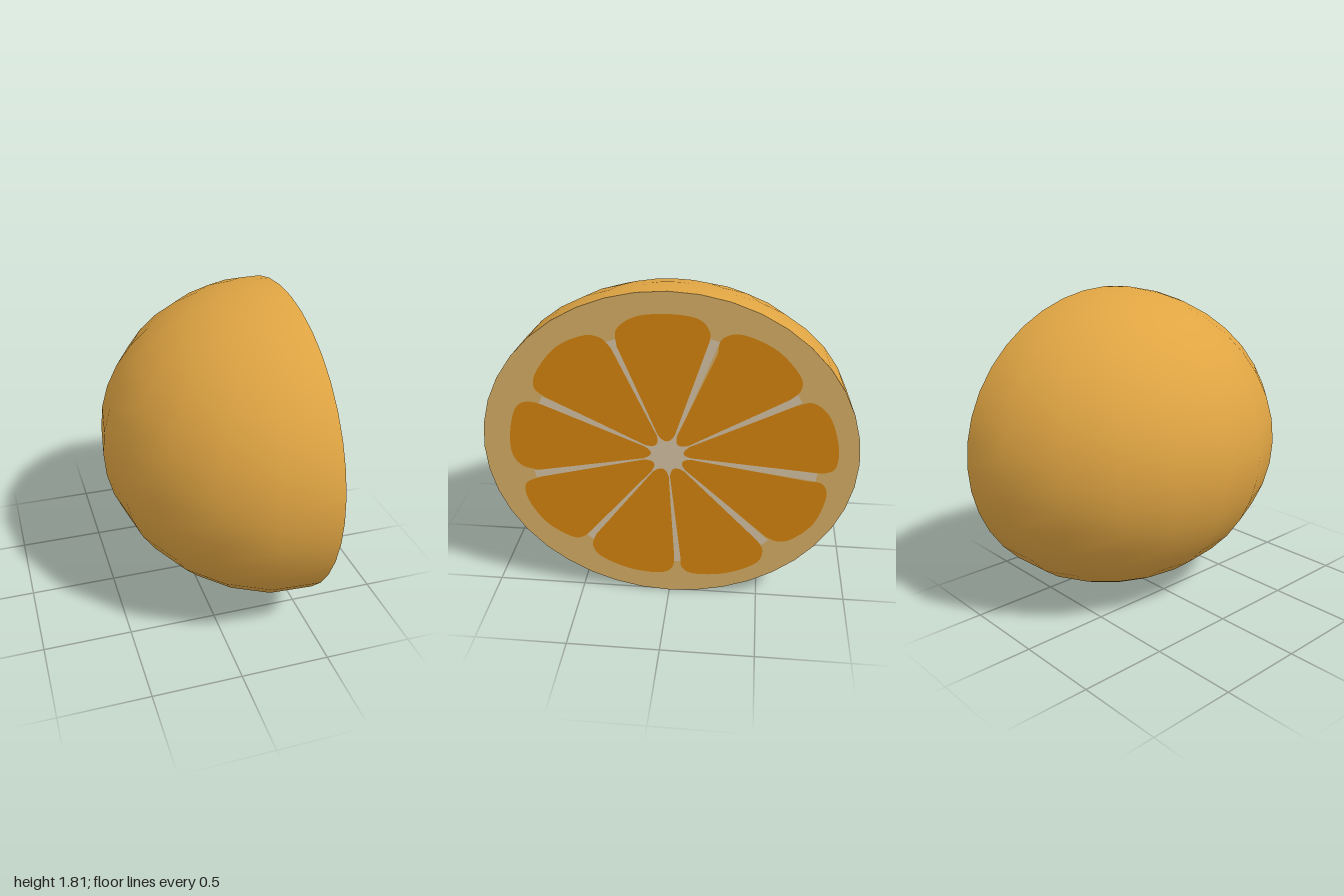
import * as THREE from 'three';

const CY = 0.907;      // height of the fruit's centre
const CUT = 0.511;     // x of the flat cut
const STEPS = 20;      // latitude steps from bottom to top

const paint = (name, color) => {
  const m = new THREE.MeshStandardMaterial({ color });
  m.name = name;
  return m;
};

// Half ellipsoid of skin, with poles at top and bottom and an open side at the cut
function domeGeometry() {
  const pos = [], nor = [], idx = [];
  const n = new THREE.Vector3();
  for (let i = 0; i <= STEPS; i++) {
    const lat = -Math.PI / 2 + (i / STEPS) * Math.PI;
    const r = Math.cos(lat), y = CY + CY * Math.sin(lat);
    for (let j = 0; j <= 10; j++) {
      const a = (j / 10) * Math.PI, rim = j === 0 || j === 10;
      const x = rim ? CUT : 0.485 - r * Math.sin(a);
      const z = r * Math.cos(a) * (rim ? 1 : 1.03);
      pos.push(x, y, z);
      n.set(x - 0.485, (y - CY) / (CY * CY), z / 1.06).normalize();
      nor.push(n.x, n.y, n.z);
      if (i < STEPS && j < 10) {
        const p = i * 11 + j, q = p + 11;
        idx.push(p, q, p + 1, p + 1, q, q + 1);
      }
    }
  }
  const g = new THREE.BufferGeometry();
  g.setAttribute('position', new THREE.Float32BufferAttribute(pos, 3));
  g.setAttribute('normal', new THREE.Float32BufferAttribute(nor, 3));
  g.setIndex(idx);
  return g;
}

// Flat coordinates on the cut are [u, v] = [-z, y]
const CORE = new THREE.Vector2(-0.005, 0.905);

// Outer ends of the membranes
const membraneEnds = [
  [-0.285, 1.55], [0.235, 1.57], [0.67, 1.27], [0.785, 0.815], [0.535, 0.375],
  [0.05, 0.21], [-0.445, 0.345], [-0.73, 0.745], [-0.67, 1.2],
];

// Rounded outer edge of each juicy segment, clockwise
const segmentEdges = [
  [[-0.255, 1.52], [-0.255, 1.61], [-0.16, 1.68], [0, 1.7], [0.15, 1.68], [0.21, 1.61], [0.2, 1.54]],
  [[0.25, 1.5], [0.27, 1.58], [0.37, 1.605], [0.54, 1.53], [0.66, 1.4], [0.67, 1.32], [0.62, 1.265]],
  [[0.65, 1.23], [0.74, 1.25], [0.83, 1.17], [0.885, 1.0], [0.88, 0.88], [0.83, 0.845], [0.76, 0.845]],
  [[0.74, 0.79], [0.82, 0.775], [0.845, 0.69], [0.79, 0.52], [0.68, 0.41], [0.6, 0.39], [0.54, 0.415]],
  [[0.49, 0.39], [0.525, 0.32], [0.49, 0.23], [0.33, 0.15], [0.15, 0.13], [0.075, 0.17], [0.065, 0.25]],
  [[0.03, 0.25], [0.02, 0.17], [-0.05, 0.125], [-0.22, 0.14], [-0.38, 0.21], [-0.435, 0.29], [-0.41, 0.37]],
  [[-0.44, 0.39], [-0.49, 0.345], [-0.56, 0.345], [-0.69, 0.43], [-0.78, 0.57], [-0.79, 0.68], [-0.71, 0.73]],
  [[-0.71, 0.775], [-0.8, 0.8], [-0.85, 0.88], [-0.845, 1.02], [-0.805, 1.15], [-0.74, 1.19], [-0.66, 1.175]],
  [[-0.64, 1.22], [-0.695, 1.27], [-0.68, 1.36], [-0.57, 1.5], [-0.43, 1.57], [-0.34, 1.565], [-0.285, 1.51]],
];

function segmentShape(edge) {
  const pts = edge.map(([u, v]) => new THREE.Vector2(u, v));
  const tip = (p, r) => p.clone().sub(CORE).setLength(r).add(CORE);
  const first = tip(pts[0], 0.13), last = tip(pts[pts.length - 1], 0.13);
  const inner = tip(pts[3], 0.05);
  const s = new THREE.Shape();
  s.moveTo(first.x, first.y);
  s.lineTo(pts[0].x, pts[0].y);
  s.splineThru(pts.slice(1));
  s.lineTo(last.x, last.y);
  s.quadraticCurveTo(inner.x, inner.y, first.x, first.y);
  return s;
}

// Tapered strip from the core to the rind
function membraneShape([u, v]) {
  const end = new THREE.Vector2(u, v);
  const side = end.clone().sub(CORE).normalize().rotateAround(new THREE.Vector2(), Math.PI / 2);
  const at = (p, w) => p.clone().addScaledVector(side, w);
  return new THREE.Shape([at(CORE, -0.01), at(end, -0.025), at(end, 0.025), at(CORE, 0.01)]);
}

export function createModel() {
  const skin = paint('skin', 0xe0a543);
  const rind = paint('rind', 0xd6ae65);
  const membrane = paint('membrane', 0xd6c2a4);
  const pulp = paint('pulp', 0xd6840f);

  const model = new THREE.Group();
  model.name = 'halfOrange';

  const dome = new THREE.Mesh(domeGeometry(), skin);
  dome.name = 'skin';
  model.add(dome);

  // Everything on the cut lies in one group turned to face +x
  const cut = new THREE.Group();
  cut.name = 'cutFace';
  cut.rotation.y = Math.PI / 2;
  cut.position.x = CUT;
  model.add(cut);
  const plate = (name, shape, material, lift) => {
    const mesh = new THREE.Mesh(new THREE.ShapeGeometry(shape, 6), material);
    mesh.name = name;
    mesh.position.z = lift;
    cut.add(mesh);
  };

  // Rind disc, matching the rim of the skin
  const rim = [];
  for (let i = 0; i < STEPS * 2; i++) {
    const a = (i / STEPS) * Math.PI;
    rim.push(new THREE.Vector2(Math.cos(a), CY + CY * Math.sin(a)));
  }
  plate('rindFace', new THREE.Shape(rim), rind, 0);

  // Core, membranes and juicy segments
  plate('core', new THREE.Shape().absarc(CORE.x, CORE.y, 0.13, 0, Math.PI * 2), membrane, 0.002);
  membraneEnds.forEach((end, i) => plate(`membrane${i + 1}`, membraneShape(end), membrane, 0.002));
  segmentEdges.forEach((edge, i) => plate(`segment${i + 1}`, segmentShape(edge), pulp, 0.004));

  return model;
}
